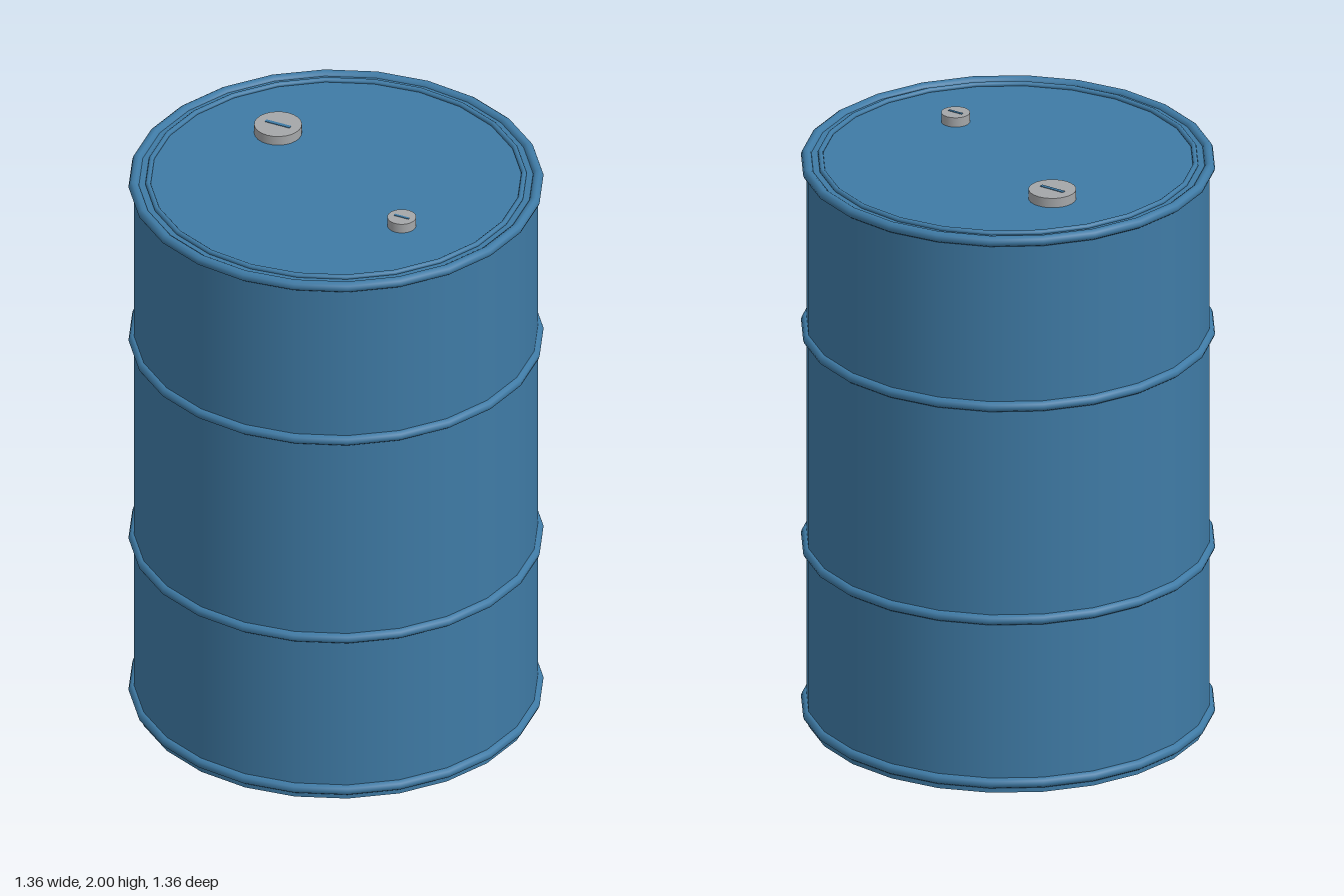
import * as THREE from 'three';

const SIDES = 24;
const RADIUS = 0.66;

export function createModel() {
  const drum = new THREE.Group();
  drum.name = 'drum';
  const blue = new THREE.MeshStandardMaterial({ color: 0x3f7ba6 });
  blue.name = 'blue paint';
  const grey = new THREE.MeshStandardMaterial({ color: 0xa5a7a9 });
  grey.name = 'grey metal';

  const add = (name, geometry, material, x, y, z, parent = drum) => {
    const mesh = new THREE.Mesh(geometry, material);
    mesh.name = name;
    mesh.position.set(x, y, z);
    parent.add(mesh);
    return mesh;
  };
  const ring = (radius, tube) =>
    new THREE.TorusGeometry(radius, tube, 10, SIDES).rotateX(Math.PI / 2);
  // quarter turn puts the corners on the axes
  const disc = (radius, height, sides = SIDES) =>
    new THREE.CylinderGeometry(radius, radius, height, sides);

  // Closed barrel wall with flat ends
  add('body', disc(RADIUS, 1.965), blue, 0, 1.965 / 2, 0);

  // End rims and rolling hoops
  add('bottomRim', ring(RADIUS, 0.018), blue, 0, 0.035, 0);
  add('lowerHoop', ring(RADIUS, 0.018), blue, 0, 0.615, 0);
  add('upperHoop', ring(RADIUS, 0.018), blue, 0, 1.373, 0);
  add('topRim', ring(RADIUS, 0.018), blue, 0, 1.96, 0);

  // Raised bead around the lid
  add('lidBead', ring(0.614, 0.009), blue, 0, 1.969, 0);

  // Screw caps with a slot in the top
  const cap = (name, x, z, radius, slotLength, slotWidth) => {
    const group = new THREE.Group();
    group.name = name;
    group.position.set(x, 0, z);
    drum.add(group);
    add('plug', disc(radius, 0.036), grey, 0, 1.98, 0, group);
    add('slot', new THREE.BoxGeometry(slotLength, 0.004, slotWidth), blue, 0, 1.998, 0, group);
  };
  cap('largeCap', -0.3, -0.175, 0.078, 0.09, 0.013);
  cap('smallCap', 0.32, 0.158, 0.047, 0.053, 0.009);

  return drum;
}
